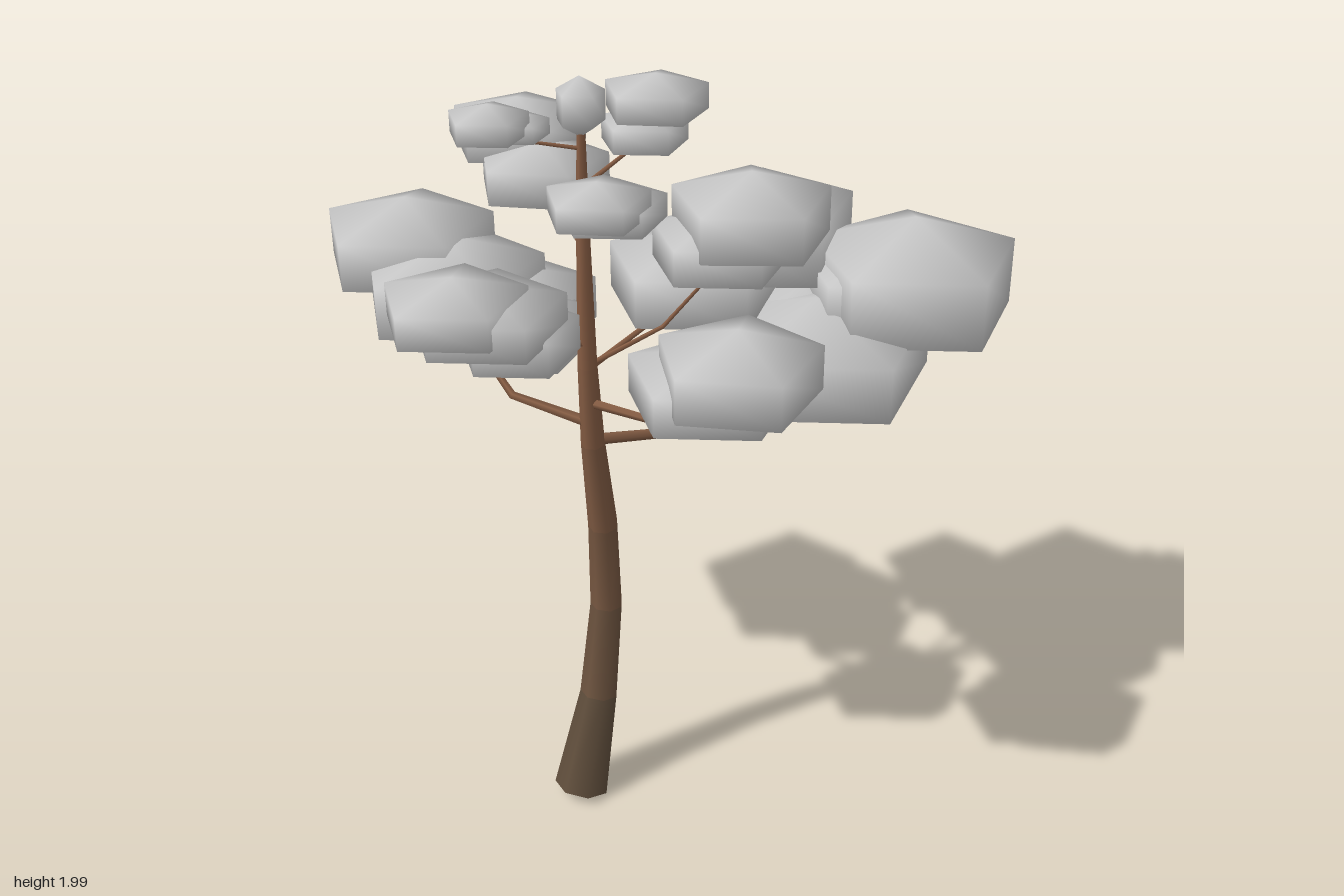
import * as THREE from 'three';

const UP = new THREE.Vector3(0, 1, 0);
const leafMaterial = new THREE.MeshStandardMaterial({ color: 0xcccccc });
const darkBark = new THREE.Color(0x5a4d3c);
const lightBark = new THREE.Color(0x8a5f45);

// Trunk centre line: x, y, z, radius
const trunkPath = [
  [-0.33, 0.025, 0.053, 0.073], [-0.268, 0.3, 0.02, 0.05], [-0.238, 0.57, 0.008, 0.042],
  [-0.245, 0.82, 0.028, 0.038], [-0.272, 1.08, 0.07, 0.03], [-0.284, 1.3, 0.095, 0.024],
  [-0.289, 1.6, 0.12, 0.017], [-0.29, 1.92, 0.14, 0.009],
];

// Branches: base radius, then start, elbow and tip
const branchPaths = [
  [0.015, [-0.28, 1.09, 0.07], [0.16, 1.05, 0.03], [0.28, 1.14, 0]],
  [0.014, [-0.28, 1.14, 0.08], [-0.44, 1.165, -0.06], [-0.5, 1.25, -0.17]],
  [0.012, [-0.28, 1.2, 0.09], [-0.13, 1.22, 0.29], [-0.08, 1.3, 0.36]],
  [0.008, [-0.28, 1.29, 0.09], [-0.02, 1.35, -0.09], [0.1, 1.4, -0.16]],
  [0.008, [-0.285, 1.36, 0.1], [-0.42, 1.4, 0.18], [-0.5, 1.47, 0.22]],
  [0.007, [-0.284, 1.3, 0.095], [-0.1, 1.37, 0.08], [0.03, 1.54, 0.13]],
  [0.006, [-0.288, 1.6, 0.12], [-0.32, 1.64, -0.08], [-0.35, 1.71, -0.2]],
  [0.006, [-0.288, 1.68, 0.125], [-0.28, 1.71, 0.22], [-0.29, 1.76, 0.31]],
  [0.006, [-0.289, 1.75, 0.13], [-0.15, 1.78, 0], [-0.09, 1.84, -0.04]],
  [0.005, [-0.29, 1.84, 0.135], [-0.4, 1.86, 0.12], [-0.48, 1.9, 0.13]],
];

// Leaf clumps by branch: x, y, z, pentagon radius, half height, turn
const clumpGroups = {
  rightCanopy: [
    [0.54, 1.39, 0.03, 0.264, 0.168, 0], [0.29, 1.24, 0.04, 0.3, 0.14, 0],
    [0.28, 1.24, -0.05, 0.3, 0.135, 0], [0.5, 1.37, -0.03, 0.245, 0.13, 0.04],
  ],
  backLeftCanopy: [
    [-0.625, 1.43, -0.445, 0.22, 0.12, 0], [-0.54, 1.36, -0.31, 0.235, 0.13, 0.05],
    [-0.39, 1.295, -0.14, 0.16, 0.1, 0], [-0.39, 1.295, -0.285, 0.21, 0.11, -0.03],
  ],
  frontCanopy: [
    [-0.03, 1.42, 0.455, 0.19, 0.105, 0.1], [-0.07, 1.36, 0.385, 0.195, 0.092, 0], [-0.02, 1.35, 0.3, 0.14, 0.085, 0],
  ],
  backRightCanopy: [
    [0.23, 1.47, -0.2, 0.235, 0.15, -0.02], [0.035, 1.395, -0.13, 0.225, 0.12, 0],
  ],
  frontLeftCanopy: [
    [-0.6, 1.54, 0.23, 0.165, 0.075, 0], [-0.53, 1.51, 0.225, 0.18, 0.078, 0], [-0.46, 1.44, 0.2, 0.14, 0.08, 0],
  ],
  upperRightCanopy: [
    [0.09, 1.65, 0.15, 0.19, 0.108, -0.03], [0.02, 1.58, 0.14, 0.165, 0.085, 0],
  ],
  upperBackCanopy: [
    [-0.36, 1.755, -0.28, 0.165, 0.078, 0], [-0.33, 1.69, -0.15, 0.16, 0.08, 0.1],
  ],
  upperFrontCanopy: [
    [-0.305, 1.79, 0.35, 0.115, 0.053, 0.05], [-0.26, 1.755, 0.29, 0.12, 0.052, 0],
  ],
  topRightCanopy: [
    [-0.08, 1.875, -0.05, 0.125, 0.06, 0.05], [-0.11, 1.805, -0.04, 0.105, 0.055, 0],
  ],
  topLeftCanopy: [
    [-0.49, 1.91, 0.14, 0.09, 0.047, 0], [-0.42, 1.885, 0.1, 0.07, 0.035, 0],
  ],
  crownTip: [[-0.29, 1.933, 0.135, 0.055, 0.067, 0]],
};

// A bent, tapering limb; every section takes its own bark shade by height
function limb(name, path, sides) {
  const group = new THREE.Group();
  group.name = name;
  const points = path.map((p) => new THREE.Vector3(p[0], p[1], p[2]));
  const turns = points.map((p, i) => {
    const before = points[Math.max(i - 1, 0)];
    const after = points[Math.min(i + 1, points.length - 1)];
    return new THREE.Quaternion().setFromUnitVectors(UP, after.clone().sub(before).normalize());
  });
  const v = new THREE.Vector3();
  for (let i = 0; i < points.length - 1; i++) {
    const geometry = new THREE.CylinderGeometry(1, 1, 1, sides, 1);
    const { position, normal } = geometry.attributes;
    for (let k = 0; k < position.count; k++) {
      const ring = position.getY(k) < 0 ? i : i + 1;
      const r = path[ring][3];
      v.set(position.getX(k) * r, 0, position.getZ(k) * r).applyQuaternion(turns[ring]).add(points[ring]);
      position.setXYZ(k, v.x, v.y, v.z);
      v.fromBufferAttribute(normal, k).applyQuaternion(turns[ring]);
      normal.setXYZ(k, v.x, v.y, v.z);
    }
    const shade = Math.min((points[i].y + points[i + 1].y) / 2 / 1.3, 1);
    const color = darkBark.clone().lerp(lightBark, shade);
    const mesh = new THREE.Mesh(geometry, new THREE.MeshStandardMaterial({ color }));
    mesh.name = `${name}Section${i + 1}`;
    group.add(mesh);
  }
  return group;
}

// A five-sided leaf clump: two equal pentagon rings between a top and a bottom point.
// Only the positions are flattened, so the round normals shade it softly.
function clump([x, y, z, radius, halfHeight, turn]) {
  const geometry = new THREE.SphereGeometry(1, 5, 3).rotateY(Math.PI - turn);
  const wide = radius / Math.sin(Math.PI / 3);
  geometry.attributes.position.applyMatrix4(
    new THREE.Matrix4().makeScale(wide, halfHeight, wide).setPosition(x, y, z),
  );
  const mesh = new THREE.Mesh(geometry, leafMaterial);
  mesh.name = 'leafClump';
  return mesh;
}

export function createModel() {
  const tree = new THREE.Group();
  tree.name = 'tree';
  tree.add(limb('trunk', trunkPath, 7));

  // Branches thin towards the tip
  branchPaths.forEach(([r, ...path], i) => {
    tree.add(limb(`branch${i + 1}`, path.map((p, k) => [...p, r * (1 - 0.25 * k)]), 5));
  });

  for (const [name, clumps] of Object.entries(clumpGroups)) {
    const canopy = new THREE.Group();
    canopy.name = name;
    clumps.forEach((c) => canopy.add(clump(c)));
    tree.add(canopy);
  }
  return tree;
}
